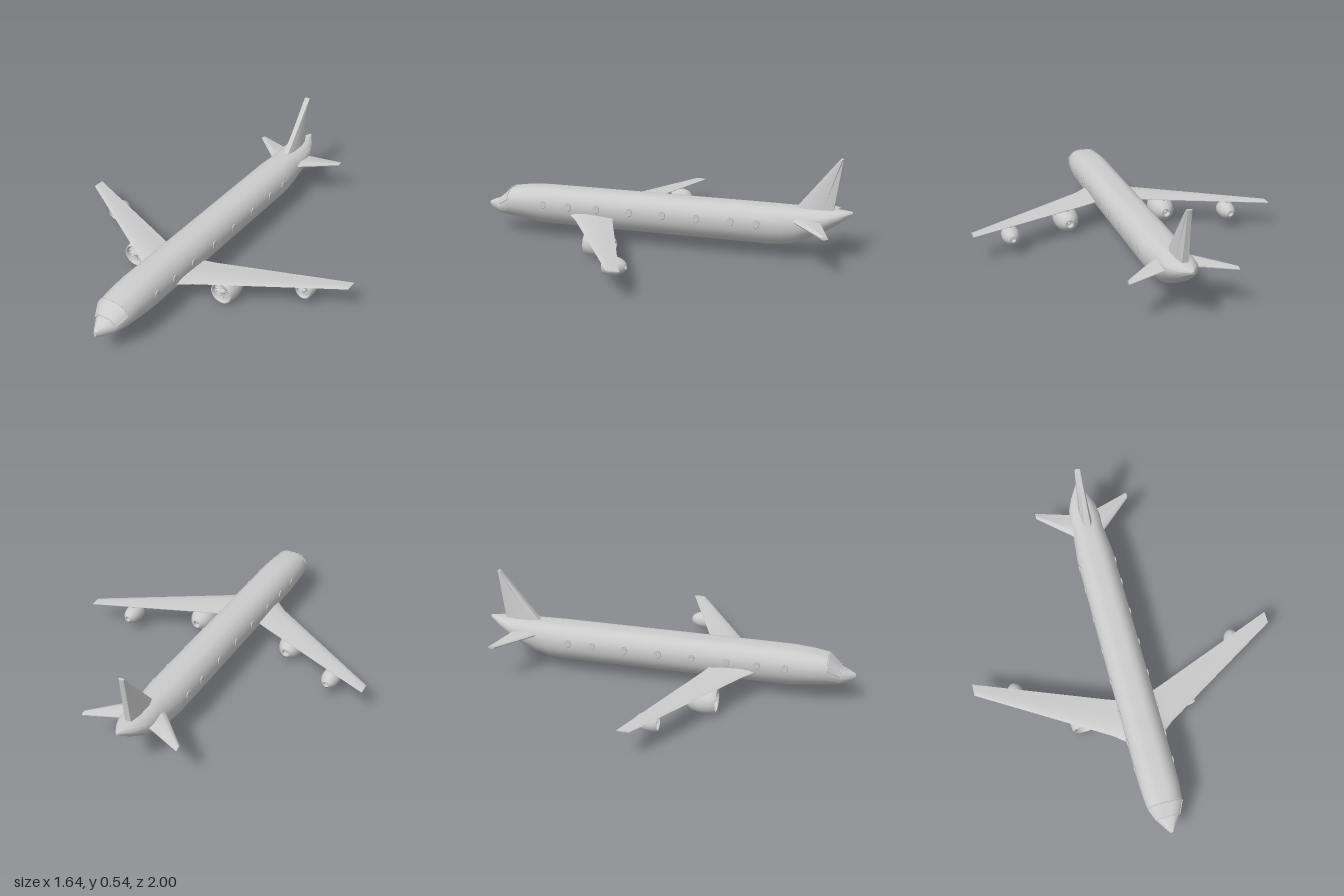
import * as THREE from 'three';
import { toCreasedNormals } from 'three/addons/utils/BufferGeometryUtils.js';

const material = new THREE.MeshStandardMaterial({ color: 0xcccccc });
const thinMaterial = new THREE.MeshStandardMaterial({ color: 0xcccccc, side: THREE.DoubleSide });
const V = (x, y, z) => new THREE.Vector3(x, y, z);

function add(parent, name, geometry, mat = material) {
  const mesh = new THREE.Mesh(geometry, mat);
  mesh.name = name;
  parent.add(mesh);
  return mesh;
}

// Skin a list of equal-length closed rings and cap both ends
function loft(rings, crease = 0.6) {
  const n = rings[0].length;
  const points = rings.flat();
  const index = [];
  for (let r = 0; r < rings.length - 1; r++) {
    for (let i = 0; i < n; i++) {
      const a = r * n + i, b = r * n + (i + 1) % n;
      index.push(a, b, b + n, a, b + n, a + n);
    }
  }
  const last = (rings.length - 1) * n;
  for (let i = 1; i < n - 1; i++) {
    index.push(0, i + 1, i, last, last + i, last + i + 1);
  }
  // Turn the faces outward when the enclosed volume comes out negative
  let volume = 0;
  const cross = V(0, 0, 0);
  for (let i = 0; i < index.length; i += 3) {
    volume += points[index[i]].dot(cross.crossVectors(points[index[i + 1]], points[index[i + 2]]));
  }
  if (volume < 0) index.reverse();
  const geometry = new THREE.BufferGeometry().setFromPoints(points);
  geometry.setIndex(index);
  return toCreasedNormals(geometry, crease);
}

// Fuselage cross-section: half profile mirrored into a smooth closed curve
const half = [[0, 1], [0.45, 0.98], [0.8, 0.72], [0.98, 0.36], [1, 0],
  [0.92, -0.35], [0.7, -0.7], [0.4, -0.97], [0, -1]];
const outline = [...half, ...half.slice(1, -1).reverse().map(([x, y]) => [-x, y])];
const SIDES = 32;
const section = new THREE.CatmullRomCurve3(outline.map(([x, y]) => V(x, y, 0)), true)
  .getPoints(SIDES).slice(0, SIDES);

function bodyRing([z, halfWidth, bottom, top]) {
  return section.map(p => V(p.x * halfWidth, (top + bottom) / 2 + p.y * (top - bottom) / 2, z));
}

// z, half width, bottom, top
const stations = [
  [1, 0.008, 0.135, 0.162], [0.975, 0.026, 0.12, 0.173], [0.925, 0.058, 0.103, 0.19],
  [0.855, 0.092, 0.096, 0.255], [0.78, 0.099, 0.088, 0.266], [0.68, 0.102, 0.076, 0.274],
  [0.58, 0.102, 0.073, 0.275], [-0.58, 0.102, 0.073, 0.275], [-0.65, 0.095, 0.077, 0.275],
  [-0.72, 0.088, 0.092, 0.275], [-0.8, 0.087, 0.128, 0.275], [-0.87, 0.076, 0.167, 0.275],
  [-0.93, 0.05, 0.205, 0.274], [-0.98, 0.019, 0.243, 0.273], [-1, 0.006, 0.258, 0.271],
];

function windshield(parent) {
  const low = bodyRing(stations[2]), high = bodyRing(stations[3]);
  const bottomEdge = [], topEdge = [];
  for (let k = -6; k <= 6; k++) {
    const i = (k + SIDES) % SIDES;
    const out = V(section[i].x * 0.003, section[i].y * 0.003, 0.002);
    bottomEdge.push(low[i].clone().lerp(high[i], 0.06).add(out));
    topEdge.push(low[i].clone().lerp(high[i], 0.94).add(out));
  }
  const pane = new THREE.BufferGeometry().setFromPoints([...bottomEdge, ...topEdge]);
  const n = bottomEdge.length, index = [];
  for (let i = 0; i < n - 1; i++) index.push(i, i + 1, i + n + 1, i, i + n + 1, i + n);
  pane.setIndex(index);
  pane.computeVertexNormals();
  add(parent, 'windshield', pane, thinMaterial);
  const path = new THREE.CatmullRomCurve3([...bottomEdge, ...topEdge.reverse()], true, 'catmullrom', 0.1);
  add(parent, 'windshieldFrame', new THREE.TubeGeometry(path, 80, 0.003, 6, true));
}

// Wing-like part: stations of x, leading z, trailing z, mid y, thickness
function wing(list, side) {
  return loft(list.map(([x, lead, trail, y, t]) => {
    const at = (f, h) => V(side * x, y + h * t, lead + (trail - lead) * f);
    return [at(0, 0), at(0.08, 0.32), at(0.3, 0.5), at(0.65, 0.35), at(1, 0.08),
      at(1, -0.08), at(0.65, -0.35), at(0.3, -0.5), at(0.08, -0.32)];
  }), 0.7);
}

// Turbofan of unit radius, length 2.4, intake facing +z
function engine(name, x, y, z, radius) {
  const group = new THREE.Group();
  group.name = name;
  const profile = [[0, -0.9], [0.2, -0.9], [0.26, -1.18], [0.34, -1.2], [0.4, -1.15], [0.62, -0.95],
    [0.83, -0.6], [0.96, -0.15], [1, 0.3], [0.98, 0.75], [0.92, 1.1], [0.87, 1.2],
    [0.8, 1.18], [0.75, 1.05], [0.74, 0.7], [0, 0.7]].map(p => new THREE.Vector2(...p));
  add(group, 'nacelle', toCreasedNormals(new THREE.LatheGeometry(profile, 28).rotateX(Math.PI / 2), 0.6));
  const cone = [[0.25, 0.68], [0.24, 0.9], [0.15, 1.03], [0, 1.1]].map(p => new THREE.Vector2(...p));
  add(group, 'spinner', new THREE.LatheGeometry(cone, 20).rotateX(Math.PI / 2));
  const plug = new THREE.ConeGeometry(0.11, 0.3, 14).rotateX(-Math.PI / 2).translate(0, 0, -1.03);
  add(group, 'exhaustPlug', plug);
  for (let i = 0; i < 14; i++) {
    const blade = new THREE.BoxGeometry(0.13, 0.56, 0.03).rotateY(0.6).translate(0, 0.48, 0.88);
    add(group, 'fanBlade', blade.rotateZ(i / 14 * Math.PI * 2));
  }
  group.scale.setScalar(radius);
  group.position.set(x, y, z);
  return group;
}

// Oval window with a raised rim
function cabinWindow(side, z) {
  const group = new THREE.Group();
  group.name = 'cabinWindow';
  add(group, 'rim', new THREE.TorusGeometry(0.015, 0.0035, 8, 20));
  add(group, 'pane', new THREE.CylinderGeometry(0.015, 0.015, 0.006, 20).rotateX(Math.PI / 2));
  group.scale.y = 1.35;
  group.rotation.y = side * Math.PI / 2;
  group.position.set(side * 0.102, 0.197, z);
  return group;
}

export function createModel() {
  const model = new THREE.Group();
  model.name = 'airliner';

  add(model, 'fuselage', loft(stations.map(bodyRing), 0.55));
  windshield(model);

  for (const side of [1, -1]) {
    add(model, side > 0 ? 'leftWing' : 'rightWing', wing([
      [0.06, 0.56, 0.25, 0.155, 0.036], [0.1, 0.485, 0.248, 0.15, 0.032],
      [0.16, 0.435, 0.225, 0.147, 0.024], [0.82, 0.03, -0.035, 0.146, 0.008],
    ], side));
    add(model, side > 0 ? 'leftStabilizer' : 'rightStabilizer', wing([
      [0.03, -0.66, -0.87, 0.222, 0.036], [0.085, -0.71, -0.85, 0.218, 0.03],
      [0.265, -0.878, -0.912, 0.206, 0.018],
    ], side));
    for (const z of [0.645, 0.5, 0.34, 0.155, -0.025, -0.21, -0.39, -0.525]) {
      model.add(cabinWindow(side, z));
    }
    // Engines hang under the wing on short pylons
    const innerX = side > 0 ? 0.262 : -0.295;
    model.add(engine('innerEngine', innerX, 0.068, 0.255, 0.068));
    model.add(engine('outerEngine', side * 0.61, 0.091, 0.058, 0.047));
    add(model, 'innerPylon', new THREE.BoxGeometry(0.014, 0.025, 0.08)).position.set(innerX, 0.134, 0.255);
    add(model, 'outerPylon', new THREE.BoxGeometry(0.01, 0.02, 0.05)).position.set(side * 0.61, 0.137, 0.08);
  }

  // Vertical fin: height, leading z, trailing z, half thickness
  const fin = [[0.25, -0.69, -0.905, 0.03], [0.28, -0.72, -0.905, 0.027], [0.54, -0.925, -0.94, 0.015]];
  add(model, 'tailFin', loft(fin.map(([y, lead, trail, w]) => {
    const at = (f, s) => V(s * w, y, lead + (trail - lead) * f);
    return [at(0, 0.5), at(0.25, 1), at(0.7, 1), at(1, 0.6), at(1, -0.6), at(0.7, -1), at(0.25, -1), at(0, -0.5)];
  }), 0.6));

  return model;
}
